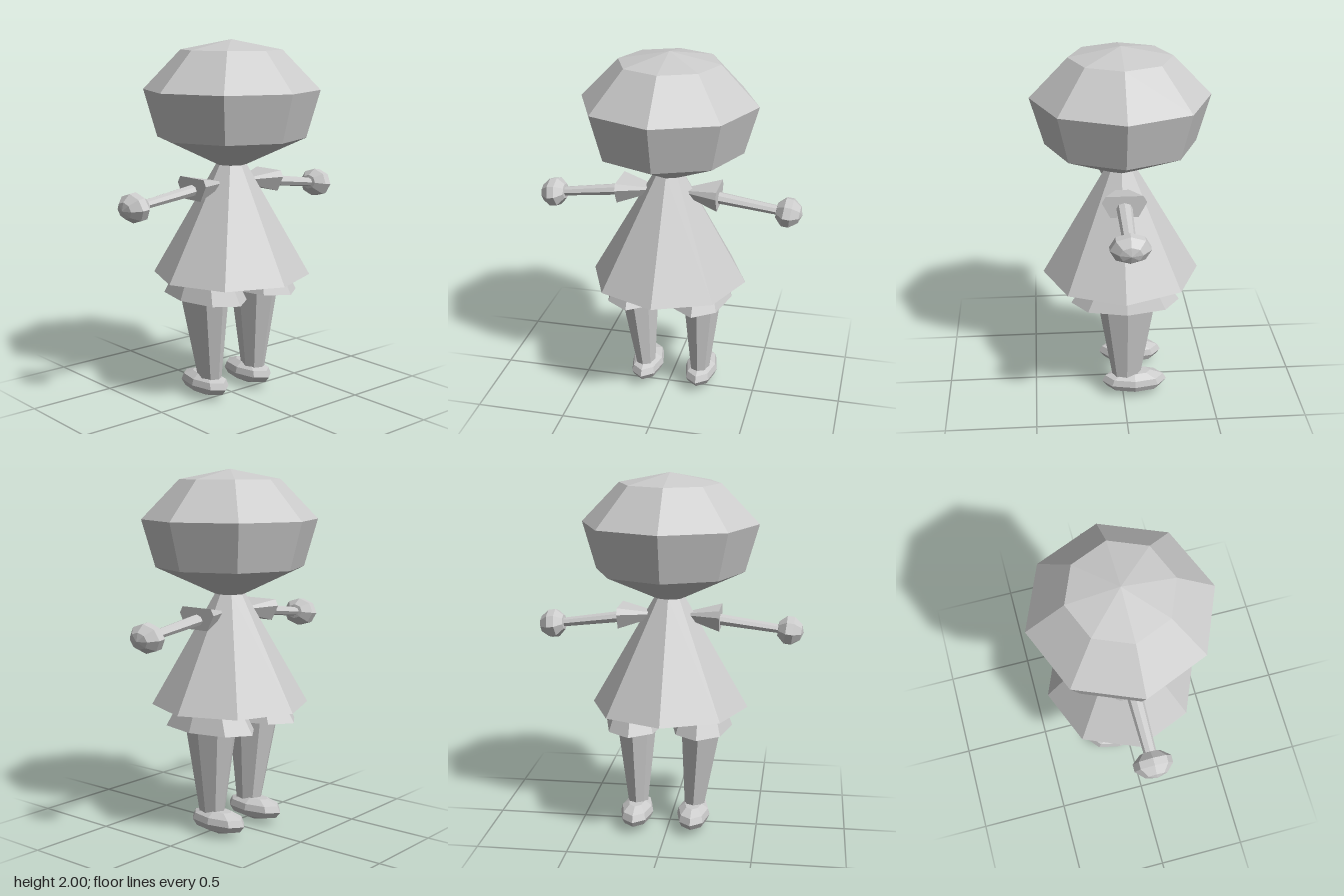
import * as THREE from 'three';
import { ConvexGeometry } from 'three/addons/geometries/ConvexGeometry.js';

const material = new THREE.MeshStandardMaterial({ color: 0xcccccc, flatShading: true });

// Eight-sided solid turned from a [radius, height] profile, listed bottom to top
function turned(name, profile, scaleX = 1, scaleZ = 1) {
  const points = profile.map(([r, y]) => new THREE.Vector2(r, y));
  const geometry = new THREE.LatheGeometry(points, 8);
  geometry.scale(scaleX, 1, scaleZ);
  const mesh = new THREE.Mesh(geometry, material);
  mesh.name = name;
  return mesh;
}

// Short flared sleeve, flat on top and rounded below
function makeSleeve(side) {
  const section = [[0.1, 0.06], [0.12, 0.025], [0.075, -0.06]];
  const points = [];
  for (const [x, y, size] of [[0.09, 1.22, 0.25], [0.28, 1.21, 1]]) {
    for (const [z, h] of section) {
      for (const m of [-1, 1]) {
        points.push(new THREE.Vector3(side * x, y + h * size, m * z * size));
      }
    }
  }
  const mesh = new THREE.Mesh(new ConvexGeometry(points), material);
  mesh.name = 'sleeve';
  return mesh;
}

// Thin tapered arm ending in a rounded hand, hanging slightly below level
function makeArm(side) {
  const arm = new THREE.Group();
  arm.name = side > 0 ? 'leftArm' : 'rightArm';
  arm.add(turned('forearm', [[0, -0.1], [0.046, -0.1], [0.034, 0.35], [0, 0.35]], 0.72, 1));
  arm.add(turned('hand', [
    [0, 0.325], [0.055, 0.33], [0.105, 0.37], [0.105, 0.41], [0.06, 0.455], [0, 0.47],
  ], 0.75, 1));
  arm.position.set(side * 0.27, 1.203, 0);
  arm.rotation.z = -side * (Math.PI / 2 + 0.13);
  return arm;
}

// Pant cuff, tapered leg and long shoe
function makeLeg(name, topX, footX) {
  const leg = new THREE.Group();
  leg.name = name;

  const cuff = turned('pantCuff', [[0, 0.6], [1, 0.6], [0.74, 0.72], [0, 0.72]], 0.172, 0.3);
  cuff.position.set(topX, 0, -0.012);

  const shin = turned('shin', [[0, 0.1], [0.47, 0.1], [1, 0.62], [0, 0.62]], 0.115, 0.165);
  // Lean the leg from the hip toward the foot
  const position = shin.geometry.attributes.position;
  for (let i = 0; i < position.count; i++) {
    const t = (position.getY(i) - 0.1) / 0.52;
    position.setX(i, position.getX(i) + THREE.MathUtils.lerp(footX, topX, t));
  }
  shin.geometry.computeVertexNormals();
  shin.position.z = -0.02;

  const shoe = turned('shoe', [
    [0, 0], [0.84, 0.04], [1, 0.075], [0.9, 0.11], [0.5, 0.137], [0, 0.14],
  ], 0.093, 0.185);
  shoe.position.set(footX, 0, -0.065);

  leg.add(cuff, shin, shoe);
  return leg;
}

export function createModel() {
  const model = new THREE.Group();
  model.name = 'doll';

  // Broad faceted head over a cone-shaped dress
  model.add(turned('head', [
    [0, 1.315], [0.08, 1.32], [0.41, 1.47], [0.485, 1.73], [0.277, 1.945], [0, 2],
  ]));
  model.add(turned('dress', [[0, 0.705], [0.437, 0.705], [0.08, 1.33], [0, 1.33]]));

  for (const side of [1, -1]) {
    model.add(makeSleeve(side), makeArm(side));
  }
  model.add(makeLeg('leftLeg', 0.188, 0.181));
  model.add(makeLeg('rightLeg', -0.182, -0.143));
  return model;
}
